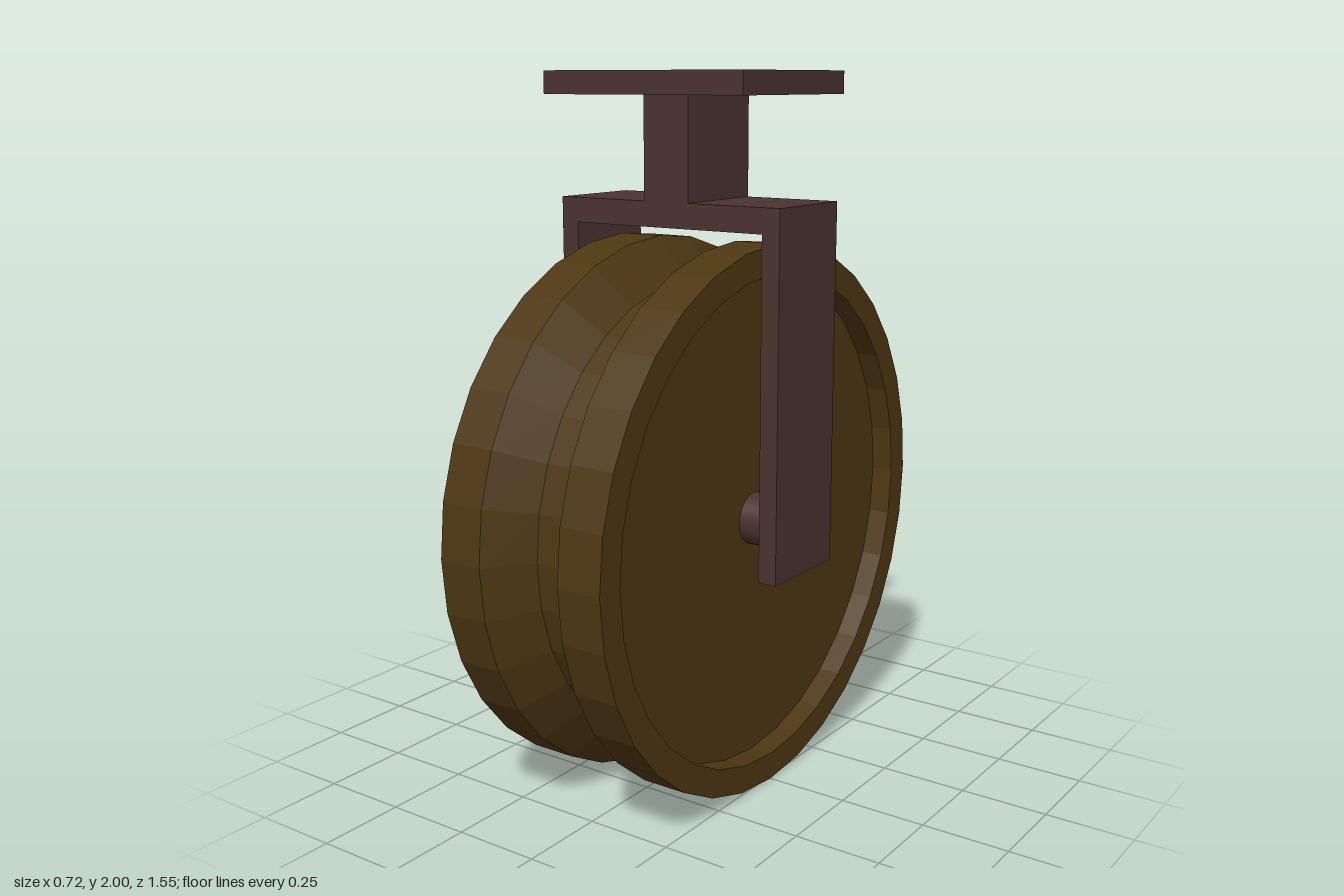
import * as THREE from 'three';

export function createModel() {
  const model = new THREE.Group();
  const metal = new THREE.MeshStandardMaterial({ color: 0x4a3330, flatShading: true });
  const brass = new THREE.MeshStandardMaterial({ color: 0x4d3712, flatShading: true });
  const axleMetal = new THREE.MeshStandardMaterial({ color: 0x4a3330 });
  const hubY = 0.775;

  const add = (name, geometry, material, x, y, z) => {
    const mesh = new THREE.Mesh(geometry, material);
    mesh.name = name;
    mesh.position.set(x, y, z);
    model.add(mesh);
    return mesh;
  };
  const box = (name, w, h, d, x, y, z) =>
    add(name, new THREE.BoxGeometry(w, h, d), metal, x, y, z);

  // Grooved wheel with a recessed disc on each side: half profile, mirrored
  const half = [[0, 0.195], [0.695, 0.195], [0.695, 0.26], [0.774, 0.26], [0.774, 0.128], [0.656, 0.038]];
  const profile = [
    ...half.map(([r, h]) => new THREE.Vector2(r, -h)),
    ...half.slice().reverse().map(([r, h]) => new THREE.Vector2(r, h)),
  ];
  add('grooveWheel', new THREE.LatheGeometry(profile, 32), brass, 0, hubY, 0).rotation.z = Math.PI / 2;

  // Axle through the wheel, ending inside the fork arms
  add('axle', new THREE.CylinderGeometry(0.074, 0.074, 0.64, 32), axleMetal, 0, hubY + 0.003, 0)
    .rotation.z = Math.PI / 2;

  // Fork
  for (const side of [1, -1]) {
    box(side > 0 ? 'leftForkArm' : 'rightForkArm', 0.054, 1.01, 0.29, side * 0.332, 1.152, 0);
  }
  box('forkBridge', 0.612, 0.069, 0.29, 0, 1.6225, 0);

  // Stem and mounting plate
  box('stem', 0.145, 0.285, 0.29, 0, 1.7975, 0);
  box('mountingPlate', 0.64, 0.062, 0.498, 0, 1.969, 0.012);

  return model;
}
